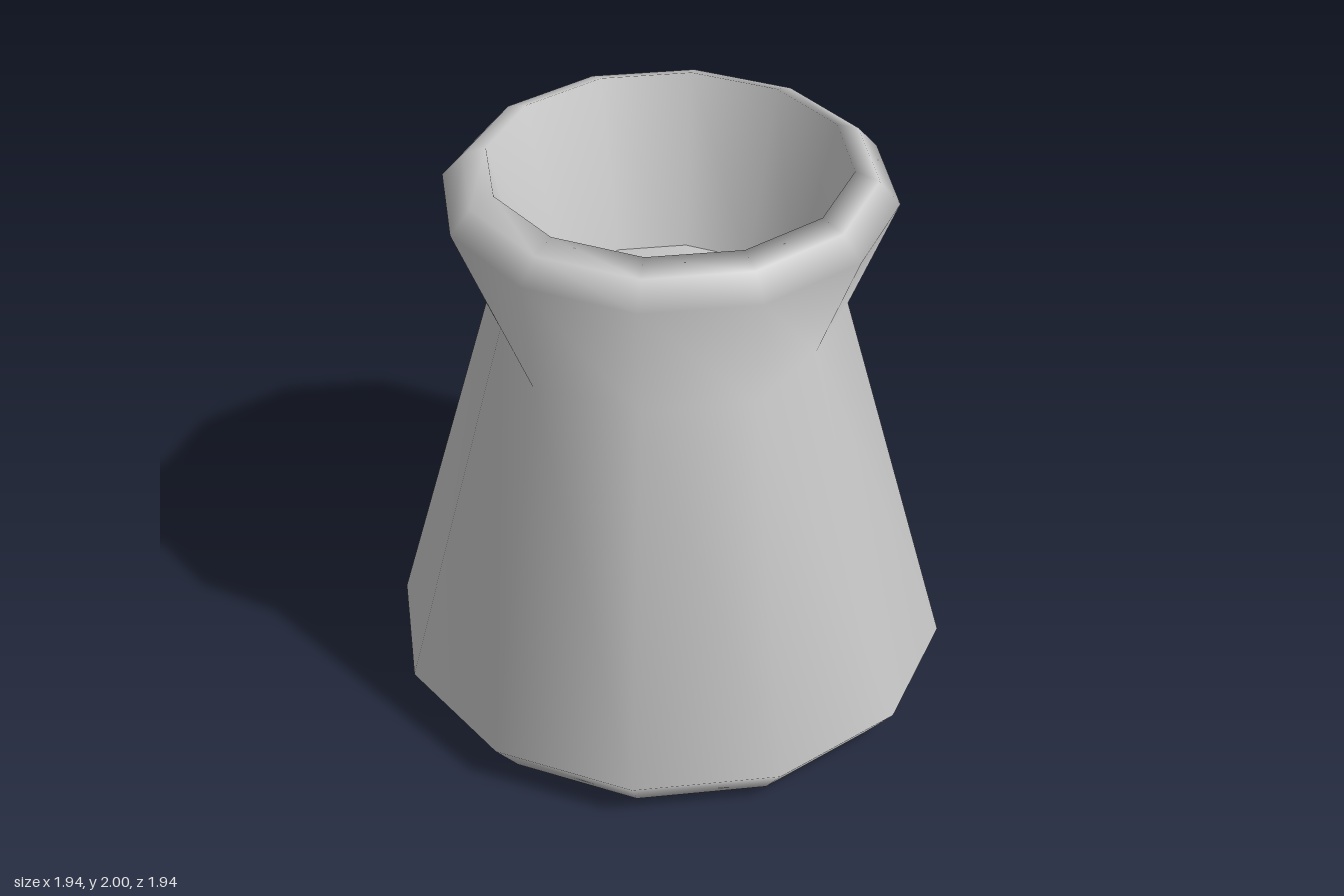
import * as THREE from 'three';
import { mergeVertices } from 'three/addons/utils/BufferGeometryUtils.js';

const SIDES = 12;
const NECK_Y = 1.5;
const PINCH = 0.84;

// Twelve-sided turned form with normals smoothed across all its faces
function turned(profile, reshape) {
  let geo = new THREE.LatheGeometry(profile.map(([r, y]) => new THREE.Vector2(r, y)), SIDES);
  geo.deleteAttribute('normal');
  geo.deleteAttribute('uv');
  if (reshape) reshape(geo.attributes.position);
  geo = mergeVertices(geo, 1e-4);
  geo.computeVertexNormals();
  return geo;
}

// Press the neck ring inwards on its two x sides
function pinchNeck(pos) {
  for (let i = 0; i < pos.count; i++) {
    const x = pos.getX(i), y = pos.getY(i), z = pos.getZ(i);
    if (Math.abs(y - NECK_Y) < 0.01 && Math.abs(x) > 0.5) {
      pos.setXYZ(i, x * PINCH, y, z * PINCH);
    }
  }
}

export function createModel() {
  const group = new THREE.Group();
  group.name = 'vase';
  const material = new THREE.MeshStandardMaterial({ color: 0xcccccc, side: THREE.DoubleSide });

  const add = (name, geometry) => {
    const mesh = new THREE.Mesh(geometry, material);
    mesh.name = name;
    group.add(mesh);
  };

  // Base, flared body, neck, rounded rim and inner wall
  add('body', turned([
    [0, 0], [0.86, 0], [0.97, 0.14],
    [0.71, NECK_Y],
    [0.75, 1.89], [0.68, 1.97], [0.6, 2],
    [0.455, 1.4],
  ], pinchNeck));

  // Gently domed floor inside the mouth
  add('innerFloor', turned([[0.455, 1.4], [0.24, 1.45], [0, 1.47]]));

  return group;
}
